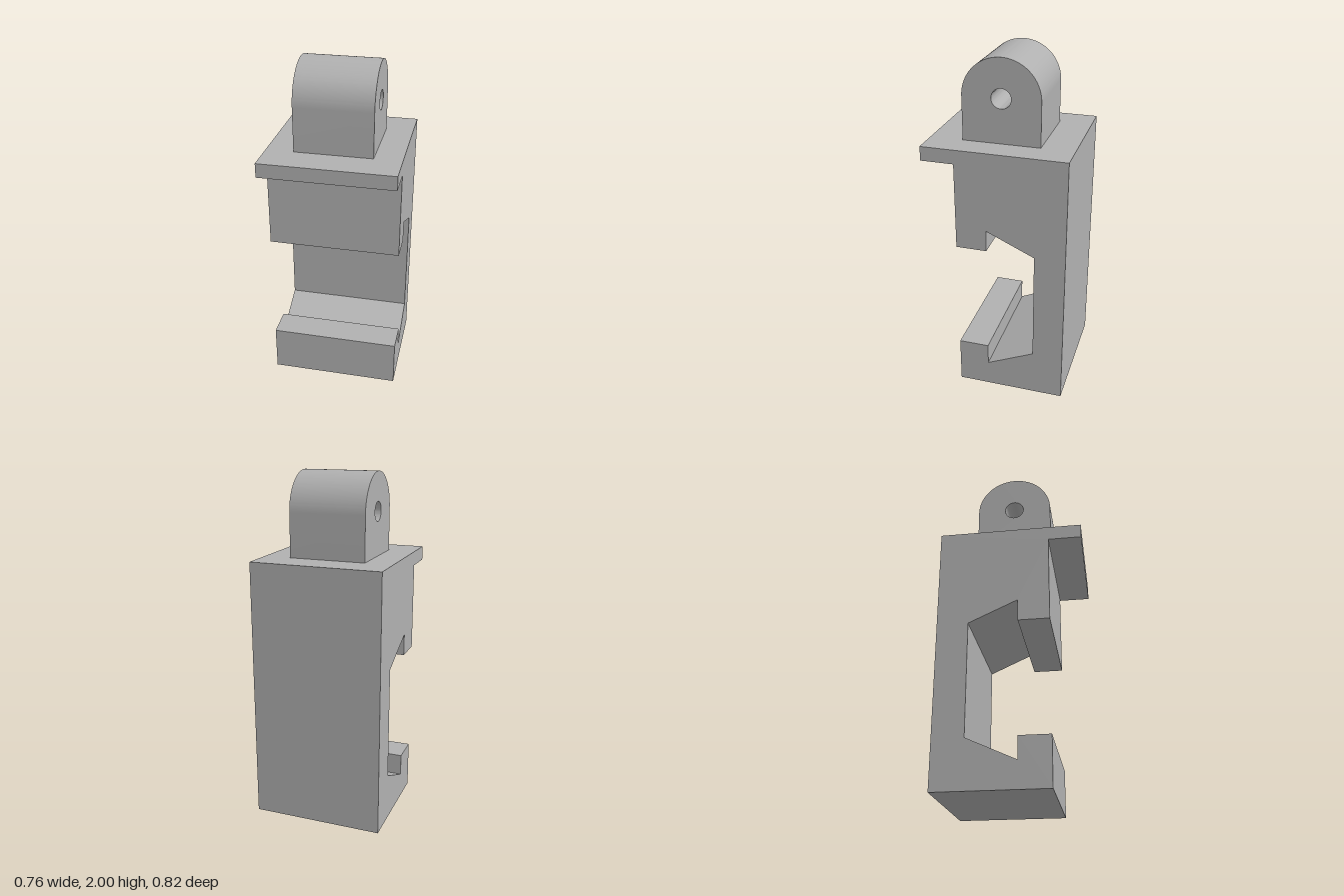
import * as THREE from 'three';
import { toCreasedNormals } from 'three/addons/utils/BufferGeometryUtils.js';

const grey = new THREE.MeshStandardMaterial({ color: 0xb0b0b0 });
grey.name = 'plain grey';

// Extrudes a side profile (horizontal axis = towards the back) across the width
function sideExtrude(name, shape, width) {
  let geo = new THREE.ExtrudeGeometry(shape, { depth: width, bevelEnabled: false, curveSegments: 40 });
  geo.translate(0, 0, -width / 2);
  geo.rotateY(Math.PI / 2);
  geo = toCreasedNormals(geo, 0.5);
  const mesh = new THREE.Mesh(geo, grey);
  mesh.name = name;
  return mesh;
}

export function createModel() {
  const model = new THREE.Group();
  model.name = 'railClip';

  // Clip body: front lip on top, hooked jaws around a rail slot
  const body = new THREE.Shape([
    [-0.222, 0], [0.412, 0], [0.412, 1.525], [-0.412, 1.525], [-0.412, 1.443], [-0.222, 1.443],
    [-0.222, 0.936], [-0.044, 0.936], [-0.044, 1.062], [0.234, 0.936],
    [0.234, 0.279], [-0.044, 0.152], [-0.044, 0.279], [-0.222, 0.279],
  ].map(([a, y]) => new THREE.Vector2(a, y)));
  model.add(sideExtrude('clipBody', body, 0.761));

  // Rounded lug with a cross hole
  const r = 0.222, cy = 2 - r;
  const lug = new THREE.Shape();
  lug.moveTo(-r, 1.525);
  lug.lineTo(r, 1.525);
  lug.lineTo(r, cy);
  lug.absarc(0, cy, r, 0, Math.PI, false);
  lug.closePath();
  const hole = new THREE.Path();
  hole.absarc(0, cy, 0.056, 0, Math.PI * 2, true);
  lug.holes.push(hole);
  model.add(sideExtrude('hangingLug', lug, 2 * r));

  return model;
}
